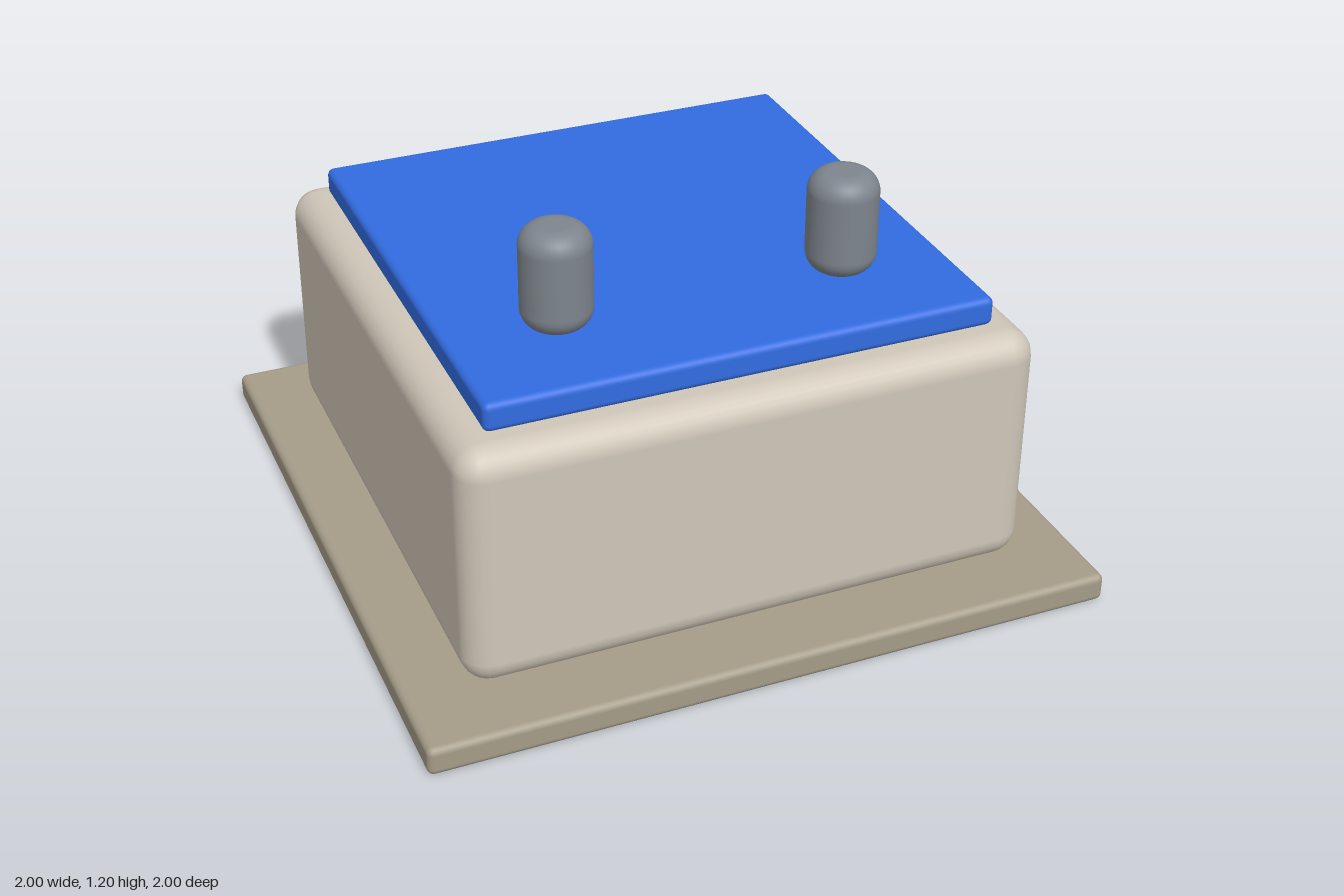
import * as THREE from 'three';
import { RoundedBoxGeometry } from 'three/addons/geometries/RoundedBoxGeometry.js';

const paint = (color) => new THREE.MeshStandardMaterial({ color });

export function createModel() {
  const model = new THREE.Group();
  const stone = paint(0xa59c88);
  const wall = paint(0xcfc6b8);
  const blue = paint(0x326ce0);
  const green = paint(0xa0de3c);
  const black = paint(0x2a2b2f);
  const trim = paint(0x1c1d20);
  const grey = paint(0x7e858d);

  function add(name, geometry, material, x, y, z) {
    const mesh = new THREE.Mesh(geometry, material);
    mesh.name = name;
    mesh.position.set(x, y, z);
    model.add(mesh);
    return mesh;
  }

  // Rounded block standing on height y0
  function block(name, w, h, d, radius, material, x, y0, z) {
    return add(name, new RoundedBoxGeometry(w, h, d, 3, radius), material, x, y0 + h / 2, z);
  }

  // Ground slab, house body and roof slab
  block('base', 2, 0.085, 2, 0.02, stone, 0, 0, 0);
  block('body', 1.66, 0.73, 1.66, 0.08, wall, 0, 0.085, 0);
  block('roof', 1.46, 0.085, 1.46, 0.02, blue, 0, 0.815, 0);

  // Two windows on the left wall, three on the back wall
  for (const z of [-0.417, 0.417]) {
    block('leftWindow', 0.05, 0.31, 0.26, 0.01, green, 0.83, 0.32, z);
  }
  for (const x of [-0.417, 0, 0.417]) {
    block('backWindow', 0.26, 0.31, 0.05, 0.01, green, x, 0.32, -0.835);
  }

  // Door with a bar across its top
  block('door', 0.36, 0.43, 0.055, 0.015, black, 0, 0.085, -0.852);
  block('doorBar', 0.425, 0.046, 0.046, 0.018, trim, 0, 0.508, -0.866);

  // Round-edged chimneys
  const r = 0.1, edge = 0.06, height = 0.3;
  const profile = new THREE.Path();
  profile.moveTo(0, 0);
  profile.lineTo(r - edge, 0);
  profile.absarc(r - edge, edge, edge, -Math.PI / 2, 0, false);
  profile.absarc(r - edge, height - edge, edge, 0, Math.PI / 2, false);
  profile.lineTo(0, height);
  const chimney = new THREE.LatheGeometry(profile.getPoints(5), 28);
  for (const x of [-0.417, 0.417]) add('chimney', chimney, grey, x, 0.9, 0.415);

  return model;
}
